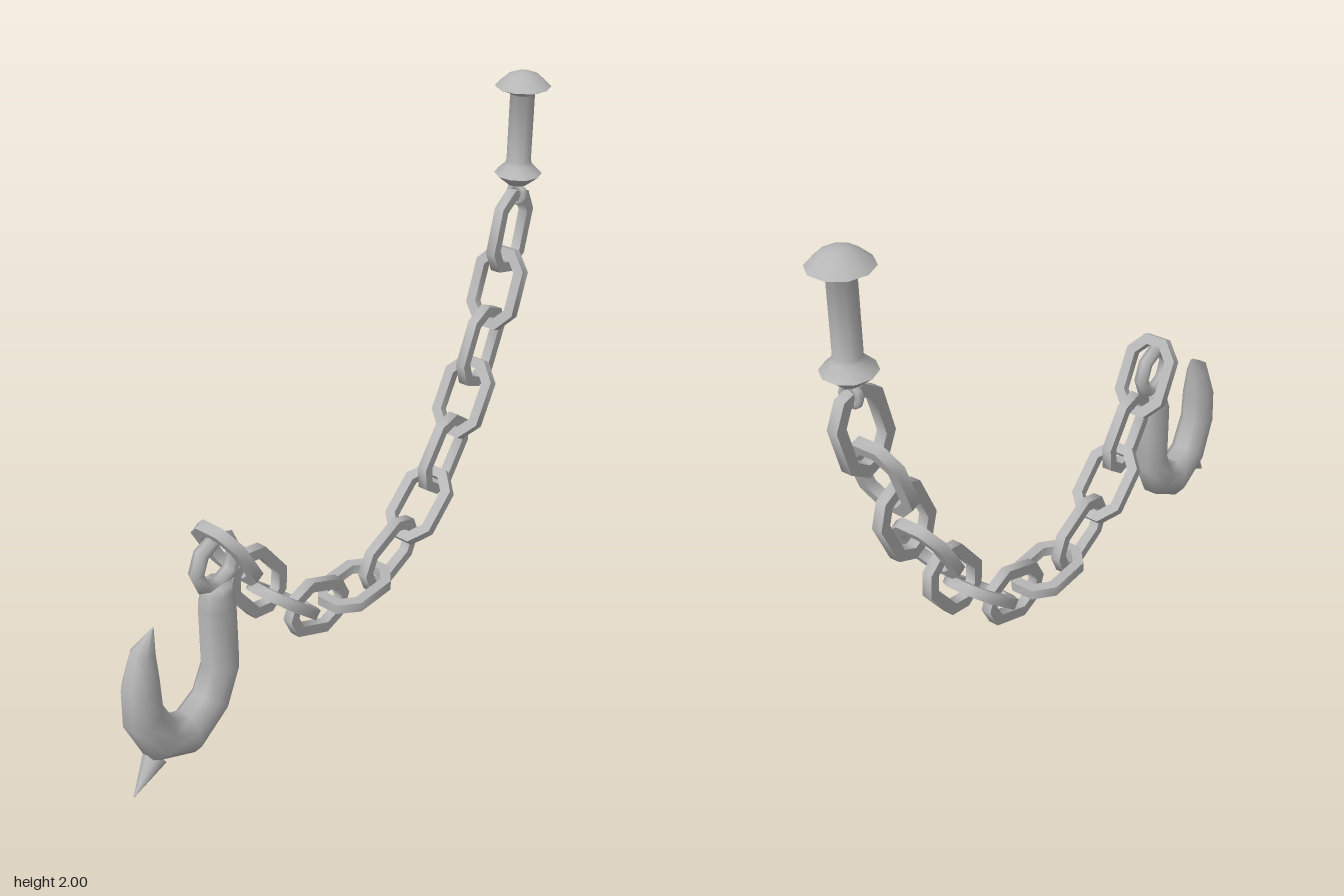
import * as THREE from 'three';
import { toCreasedNormals } from 'three/addons/utils/BufferGeometryUtils.js';

const SLANT = 0.64;            // the chain hangs in a vertical plane turned about y
const K = Math.cos(SLANT);     // converts front x to distance along that plane

// Bar swept along mitred [x, y, radius] points in the xy plane
function sweep(points, closed, sides) {
  const n = points.length, pos = [], index = [];
  const dir = (a, b) => new THREE.Vector2(b[0] - a[0], b[1] - a[1]).normalize();
  points.forEach((p, i) => {
    const hasPrev = closed || i > 0, hasNext = closed || i < n - 1;
    const next = hasNext ? dir(p, points[(i + 1) % n]) : dir(points[i - 1], p);
    const prev = hasPrev ? dir(points[(i + n - 1) % n], p) : next;
    const t = prev.clone().add(next).normalize();
    const mitre = 1 / Math.max(0.6, t.dot(next));
    for (let j = 0; j < sides; j++) {
      const a = ((j + 0.5) / sides) * Math.PI * 2;
      const c = Math.cos(a) * p[2] * mitre;
      pos.push(p[0] - t.y * c, p[1] + t.x * c, Math.sin(a) * p[2]);
    }
  });
  for (let i = 0; i < (closed ? n : n - 1); i++) {
    for (let j = 0; j < sides; j++) {
      const a = i * sides + j, b = i * sides + (j + 1) % sides;
      const c = ((i + 1) % n) * sides + j, d = ((i + 1) % n) * sides + (j + 1) % sides;
      index.push(a, b, c, b, d, c);
    }
  }
  const g = new THREE.BufferGeometry();
  g.setAttribute('position', new THREE.Float32BufferAttribute(pos, 3));
  g.setIndex(index);
  g.computeVertexNormals();
  return g;
}

export function createModel() {
  const root = new THREE.Group();
  root.name = 'hookAndChain';
  const body = new THREE.Group();
  body.name = 'hangingPlane';
  body.rotation.y = SLANT;
  root.add(body);

  const iron = new THREE.MeshStandardMaterial({ color: 0xb6b6b6 });
  iron.name = 'grey iron';

  const add = (name, geometry, x, y, parent = body) => {
    const mesh = new THREE.Mesh(geometry, iron);
    mesh.name = name;
    mesh.position.set(x / K, y, 0);
    parent.add(mesh);
    return mesh;
  };

  // Chain: stretched octagon links of square bar, every second one turned a quarter
  const r = 0.028;
  const linkGeometry = toCreasedNormals(sweep([
    [0.141, -0.037, r], [0.141, 0.037, r], [0.082, 0.088, r], [-0.082, 0.088, r],
    [-0.141, 0.037, r], [-0.141, -0.037, r], [-0.082, -0.088, r], [0.082, -0.088, r],
  ], true, 4), 1);
  const links = [ // x, y, tilt in degrees
    [0.793, 1.376, 75], [0.737, 1.16, 70], [0.662, 0.94, 66], [0.58, 0.755, 60],
    [0.482, 0.55, 53], [0.36, 0.388, 41], [0.206, 0.253, 22], [0.034, 0.22, 0],
    [-0.142, 0.253, -24], [-0.29, 0.39, -42], [-0.4, 0.55, -53], [-0.51, 0.743, -61],
  ];
  const chain = new THREE.Group();
  chain.name = 'chain';
  body.add(chain);
  links.forEach(([x, y, tilt], i) => {
    const link = add('link' + (i + 1), linkGeometry, x, y, chain);
    link.rotation.order = 'ZYX';
    link.rotation.set(i % 2 ? Math.PI / 2 : 0, 0, THREE.MathUtils.degToRad(tilt));
  });

  // Anchor bolt with domed head and lower flange
  const profile = [
    [0, 1.56], [0.038, 1.56], [0.09, 1.603], [0.052, 1.64], [0.046, 1.655], [0.046, 1.915],
    [0.05, 1.92], [0.104, 1.943], [0.062, 1.982], [0.03, 1.995], [0, 2],
  ].map(([x, y]) => new THREE.Vector2(x, y));
  add('anchorBolt', toCreasedNormals(new THREE.LatheGeometry(profile, 10), 0.8), 0.82, 0);
  const eye = add('boltEye', new THREE.TorusGeometry(0.033, 0.015, 6, 10), 0.82, 1.517);
  eye.rotation.y = Math.PI / 2;

  // Hook bar, slightly flattened and tapering to a point
  const hookPath = [
    [-0.556, 0.658, 0.001], [-0.556, 0.654, 0.06], [-0.556, 0.62, 0.061], [-0.558, 0.57, 0.073],
    [-0.558, 0.31, 0.074], [-0.605, 0.19, 0.076], [-0.7, 0.12, 0.08], [-0.803, 0.18, 0.077],
    [-0.855, 0.32, 0.074], [-0.855, 0.45, 0.07], [-0.838, 0.57, 0.047], [-0.795, 0.645, 0.002],
  ].map(([x, y, rad]) => [x / K, y, rad]);
  add('hook', sweep(hookPath, false, 8).scale(1, 1, 0.9), 0, 0);

  // Ring joining hook and chain
  add('hookRing', new THREE.TorusGeometry(0.092, 0.028, 6, 8), -0.556, 0.738);

  // Spike on the outside of the bend
  const base = new THREE.Vector3(-0.825 / K, 0.115, 0);
  const tip = new THREE.Vector3(-0.915 / K, 0.005, 0);
  const spike = add('spike', new THREE.ConeGeometry(0.045, base.distanceTo(tip), 8), 0, 0);
  spike.position.copy(base).lerp(tip, 0.5);
  spike.quaternion.setFromUnitVectors(new THREE.Vector3(0, 1, 0), tip.sub(base).normalize());

  return root;
}
